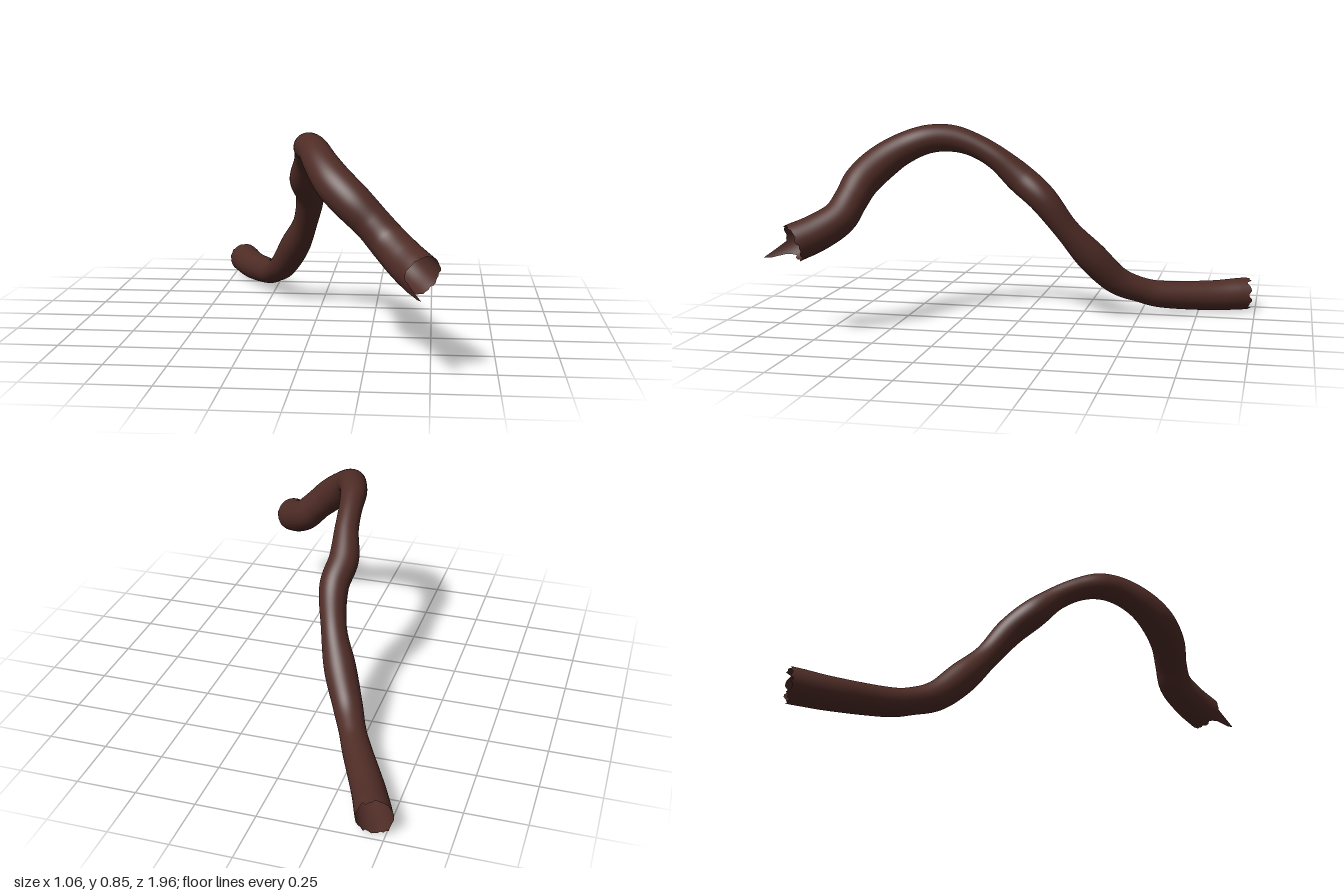
import * as THREE from 'three';

// Centre line and radius of the root: x, y, z, r
const STATIONS = [
  [-0.445, 0.077, -0.94, 0.072], [-0.385, 0.075, -0.8, 0.067], [-0.285, 0.092, -0.6, 0.06],
  [-0.235, 0.12, -0.5, 0.056], [-0.185, 0.17, -0.4, 0.062], [-0.122, 0.28, -0.3, 0.067],
  [-0.065, 0.405, -0.2, 0.054], [-0.035, 0.54, -0.1, 0.062], [-0.048, 0.625, 0, 0.064],
  [-0.03, 0.713, 0.1, 0.052], [-0.018, 0.77, 0.2, 0.051], [-0.003, 0.798, 0.3, 0.058],
  [0.03, 0.793, 0.4, 0.062], [0.07, 0.752, 0.5, 0.068], [0.125, 0.693, 0.58, 0.076],
  [0.2, 0.627, 0.635, 0.076], [0.275, 0.555, 0.66, 0.071], [0.34, 0.487, 0.69, 0.074],
  [0.405, 0.434, 0.765, 0.078], [0.46, 0.4, 0.84, 0.08],
];
const RINGS = 140, SIDES = 40;
const UP = new THREE.Vector3(0, 1, 0);

// Small repeatable noise for the torn rims, 0..1
const noise = (j) => { const s = Math.sin(j * 12.9898 + 4.1) * 43758.5453; return s - Math.floor(s); };

// How far each rim reaches past its end ring
const backTear = (a, j) => 0.014 - 0.014 * Math.cos(a) + 0.025 * noise(j);
const frontTear = (a, j) => {
  const d = (a - 3.5) / 0.24;
  return 0.012 * noise(j + 50) + 0.12 * Math.exp(-d * d);
};

function rootGeometry() {
  const path = new THREE.CatmullRomCurve3(
    STATIONS.map(([x, y, z]) => new THREE.Vector3(x, y, z)), false, 'catmullrom', 0.5);
  const radii = new THREE.CatmullRomCurve3(
    STATIONS.map((s) => new THREE.Vector3(s[3], 0, 0)), false, 'catmullrom', 0.5);
  const positions = [], indices = [];
  for (let i = 0; i <= RINGS; i++) {
    const t = i / RINGS;
    const centre = path.getPoint(t), along = path.getTangent(t), r = radii.getPoint(t).x;
    const side = new THREE.Vector3().crossVectors(UP, along).normalize();
    const over = new THREE.Vector3().crossVectors(along, side);
    for (let j = 0; j < SIDES; j++) {
      const a = (j / SIDES) * Math.PI * 2;
      const p = centre.clone()
        .addScaledVector(side, r * Math.cos(a)).addScaledVector(over, r * Math.sin(a));
      if (i === 0) p.addScaledVector(along, -backTear(a, j));
      if (i === RINGS) p.addScaledVector(along, frontTear(a, j));
      positions.push(p.x, p.y, p.z);
      if (i < RINGS) {
        const k = (j + 1) % SIDES, b = i * SIDES, c = b + SIDES;
        indices.push(b + j, b + k, c + k, b + j, c + k, c + j);
      }
    }
  }
  const geometry = new THREE.BufferGeometry();
  geometry.setAttribute('position', new THREE.Float32BufferAttribute(positions, 3));
  geometry.setIndex(indices);
  geometry.computeVertexNormals();
  return geometry;
}

export function createModel() {
  const group = new THREE.Group();
  group.name = 'root';
  // Hollow bark tube, open and torn at both ends
  const bark = new THREE.Mesh(rootGeometry(),
    new THREE.MeshStandardMaterial({ color: 0x4f2c26, side: THREE.DoubleSide }));
  bark.name = 'bark';
  group.add(bark);
  return group;
}
